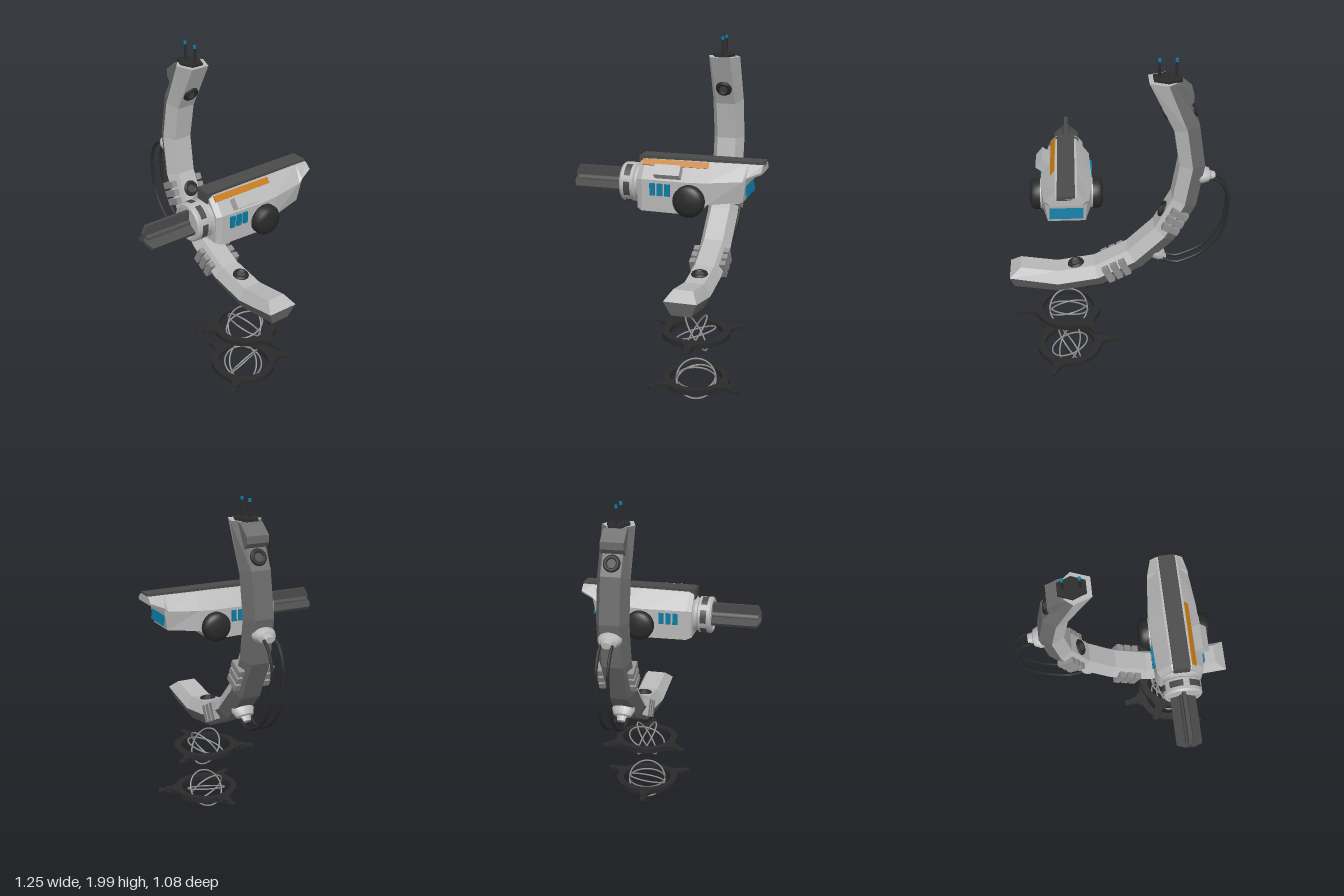
import * as THREE from 'three';
import { toCreasedNormals } from 'three/addons/utils/BufferGeometryUtils.js';

const mat = (name, color) => Object.assign(new THREE.MeshStandardMaterial({ color }), { name });
const D = Math.PI / 180;

// Flat-faced skin through a list of cross-sections, optionally closed and capped
function loft(rings, closed = true, capStart = true, capEnd = true) {
  const pos = [], n = rings[0].length;
  const tri = (...p) => p.forEach(v => pos.push(...v));
  for (let i = 0; i < rings.length - 1; i++) {
    const a = rings[i], b = rings[i + 1];
    for (let j = 0; j < (closed ? n : n - 1); j++) {
      const k = (j + 1) % n;
      tri(a[j], b[j], b[k]);
      tri(a[j], b[k], a[k]);
    }
  }
  const s = rings[0], e = rings[rings.length - 1];
  for (let j = 1; j < n - 1; j++) {
    if (capStart) tri(s[0], s[j], s[j + 1]);
    if (capEnd) tri(e[0], e[j + 1], e[j]);
  }
  const g = new THREE.BufferGeometry();
  g.setAttribute('position', new THREE.Float32BufferAttribute(pos, 3));
  g.computeVertexNormals();
  return g;
}

function extrude(points, depth) {
  const shape = new THREE.Shape(points.map(p => new THREE.Vector2(...p)));
  return new THREE.ExtrudeGeometry(shape, { depth, bevelEnabled: false }).translate(0, 0, -depth / 2);
}

export function createModel() {
  const model = new THREE.Group();
  const light = mat('lightGrey', 0xb8b8b8), outerGrey = mat('darkGrey', 0x6a6a6a);
  const midGrey = mat('midGrey', 0x8f8f8f), charcoal = mat('charcoal', 0x4a4a4a);
  const black = mat('black', 0x2a2a2a), blue = mat('blue', 0x0b7ca4), orange = mat('orange', 0xc47a10);

  const add = (parent, name, geo, material, x = 0, y = 0, z = 0) => {
    const m = new THREE.Mesh(geo, material);
    m.name = name;
    m.position.set(x, y, z);
    parent.add(m);
    return m;
  };
  const group = (parent, name, x = 0, y = 0, z = 0) => {
    const g = new THREE.Group();
    g.name = name;
    g.position.set(x, y, z);
    parent.add(g);
    return g;
  };
  const box = (x, y, z) => new THREE.BoxGeometry(x, y, z);

  // ---- Curved arm: hexagonal section swept round a centre, light inside and dark outside
  const arm = group(model, 'curvedArm', 0.345, 1.39, -0.17);
  const polar = (r, a) => [r * Math.cos(a * D), r * Math.sin(a * D)];
  const sections = [[[-0.51, 0.495], [-0.61, 0.495], [-0.655, 0.495]]];
  for (let a = 162; a <= 288; a += 18)
    sections.push([polar(0.683, a), polar(0.752, a === 288 ? 291.5 : a), polar(0.822, a)]);
  const at = (p, z) => [p[0], p[1], z];
  const W = 0.093, N = 0.056;
  add(arm, 'armInnerSkin', loft(sections.map(([i, m]) => [at(m, W), at(i, N), at(i, -N), at(m, -W)]), false), light);
  // the top cap is light right across, the lower cap is split in two tones
  add(arm, 'armOuterSkin', loft(sections.map(([, m, o]) => [at(m, -W), at(o, -N), at(o, N), at(m, W)]), false, false), outerGrey);
  const [, m0, o0] = sections[0];
  const capRing = [at(m0, -W), at(o0, -N), at(o0, N), at(m0, W)];
  add(arm, 'armTopCap', loft([capRing, capRing], false, true, false), light);
  add(arm, 'armHood', extrude([[-0.745, 0.43], [-0.745, 0.39], [-0.715, 0.355], [-0.635, 0.35],
    [-0.615, 0.49], [-0.675, 0.487]], 0.13), outerGrey);
  const plate = extrude([[-0.535, 0.035], [-0.61, 0.065], [-0.685, 0.035],
    [-0.685, -0.035], [-0.61, -0.065], [-0.535, -0.035]], 0.014).rotateX(-Math.PI / 2);
  add(arm, 'topPlate', plate, black, 0, 0.5, 0);

  // Antennas
  for (const x of [-0.31, -0.22]) {
    add(model, 'antennaRod', new THREE.CylinderGeometry(0.007, 0.007, 0.11, 8), black, x, 1.94, -0.17);
    add(model, 'antennaTip', new THREE.CylinderGeometry(0.009, 0.009, 0.018, 8), blue, x, 1.991, -0.17);
  }

  // Round ports on the inner face, and one at the upper back
  for (const [a, r] of [[153, 0.675], [207, 0.675], [261, 0.675], [157, 0.815]]) {
    const port = group(arm, 'port', ...polar(r, a));
    port.rotation.z = a * D;
    add(port, 'portRing', new THREE.TorusGeometry(0.035, 0.013, 8, 20).rotateY(Math.PI / 2), black);
    add(port, 'portDisc', new THREE.CylinderGeometry(0.03, 0.03, 0.01, 20).rotateZ(Math.PI / 2), charcoal);
  }

  // Side ribs in threes on both sides
  for (const a of [207, 243]) for (const side of [-1, 1]) {
    const ribs = group(arm, 'sideRibs', ...polar(0.745, a), side * 0.09);
    ribs.rotation.z = a * D;
    for (const k of [-1, 0, 1]) add(ribs, 'rib', box(0.1, 0.037, 0.034), midGrey, 0, k * 0.052, 0);
  }

  // Cable sockets and the pair of cables between them
  const socket = toCreasedNormals(new THREE.LatheGeometry([[0, 0], [0.042, 0], [0.045, 0.03], [0.034, 0.066],
    [0.022, 0.072], [0.018, 0.1], [0, 0.1]].map(p => new THREE.Vector2(...p)), 20), 0.6);
  for (const a of [186, 226]) {
    const s = add(arm, 'cableSocket', socket, light, ...polar(0.79, a), 0);
    s.rotation.z = (a - 90) * D;
    s.scale.z = 1.5;
  }
  const cable = [[-0.53, 1.295], [-0.575, 1.265], [-0.62, 1.17], [-0.62, 1.1], [-0.595, 0.945],
    [-0.495, 0.81], [-0.415, 0.762], [-0.325, 0.735], [-0.26, 0.765]];
  for (const z of [-0.137, -0.203]) {
    const path = new THREE.CatmullRomCurve3(cable.map(p => new THREE.Vector3(p[0], p[1], z)));
    add(model, 'cable', new THREE.TubeGeometry(path, 18, 0.009, 8), black);
  }

  // ---- Hovering turret: lofted body [z, half top, top y, half side, shoulder y, half bottom, bottom y]
  const gun = group(model, 'turret', 0.28, 0, 0);
  const body = [
    [0.14, 0.052, 1.375, 0.115, 1.29, 0.11, 1.13],
    [0.11, 0.057, 1.392, 0.13, 1.295, 0.13, 1.12],
    [-0.16, 0.06, 1.395, 0.14, 1.295, 0.14, 1.12],
    [-0.26, 0.06, 1.395, 0.138, 1.3, 0.135, 1.18],
    [-0.445, 0.058, 1.397, 0.118, 1.315, 0.1, 1.2],
    [-0.465, 0.058, 1.397, 0.115, 1.335, 0.11, 1.325],
    [-0.54, 0.055, 1.397, 0.092, 1.365, 0.085, 1.352],
  ].map(([z, t, ty, m, my, b, by]) =>
    [[t, ty, z], [-t, ty, z], [-m, my, z], [-b, by, z], [b, by, z], [m, my, z]]);
  add(gun, 'turretBody', loft(body), light);
  add(gun, 'topCover', box(0.094, 0.024, 0.68), charcoal, 0, 1.397, -0.2);
  add(gun, 'frontFlap', box(0.09, 0.06, 0.02), charcoal, 0, 1.375, 0.137);
  const tail = add(gun, 'tailPanel', box(0.18, 0.085, 0.008), blue, 0, 1.268, -0.458);
  tail.rotation.x = 0.16;
  const stripe = add(gun, 'orangeStripe', box(0.036, 0.008, 0.37), orange, 0.072, 1.378, -0.065);
  stripe.rotation.z = -52 * D;
  const pack = add(gun, 'sidePack', box(0.062, 0.05, 0.145), light, 0.13, 1.345, -0.04);
  pack.rotation.z = -52 * D;

  // Side windows and wheel pods
  add(gun, 'axle', new THREE.CylinderGeometry(0.084, 0.084, 0.3, 28).rotateZ(Math.PI / 2), light, 0, 1.2, -0.165);
  const pod = toCreasedNormals(new THREE.LatheGeometry([[0, 0], [0.086, 0], [0.086, 0.03], [0.075, 0.047],
    [0.05, 0.056], [0, 0.058]].map(p => new THREE.Vector2(...p)), 28), 0.7);
  for (const s of [-1, 1]) {
    const p = add(gun, 'sidePod', pod, black, s * 0.145, 1.2, -0.165);
    p.rotation.z = -s * Math.PI / 2;
    for (const z of [0.045, 0.003, -0.039])
      add(gun, 'sideWindow', box(0.018, 0.066, 0.029), blue, s * 0.136, 1.245, z);
  }

  // Barrel collar with slots
  const barrel = group(gun, 'barrel', 0, 1.245, 0);
  const collar = toCreasedNormals(new THREE.LatheGeometry([[0, 0.1], [0.108, 0.1], [0.108, 0.14], [0.098, 0.15],
    [0.098, 0.165], [0.108, 0.172], [0.108, 0.24], [0.1, 0.25], [0.085, 0.25], [0.085, 0.243], [0, 0.243]]
    .map(p => new THREE.Vector2(...p)), 32), 0.5);
  add(barrel, 'collar', collar.rotateX(Math.PI / 2), light);
  for (let i = 0; i < 6; i++)
    add(barrel, 'collarSlot', new THREE.CylinderGeometry(0.111, 0.111, 0.036, 6, 1, true, i * 60 * D, 42 * D)
      .rotateX(Math.PI / 2), charcoal, 0, 0, 0.205);

  // Three-finned barrel
  add(barrel, 'barrelCore', new THREE.CylinderGeometry(0.024, 0.024, 0.28, 16).rotateX(Math.PI / 2), charcoal, 0, 0, 0.38);
  const fin = extrude([[-0.24, 0], [-0.535, 0], [-0.535, 0.035], [-0.515, 0.076], [-0.24, 0.076]], 0.02)
    .rotateY(Math.PI / 2);
  for (let i = 0; i < 3; i++) add(barrel, 'barrelFin', fin, charcoal).rotation.z = i * 120 * D;

  // ---- Floating rings with spokes and thin inner hoops
  const annulus = new THREE.Shape().absarc(0, 0, 0.192, 0, Math.PI * 2);
  annulus.holes.push(new THREE.Path().absarc(0, 0, 0.15, 0, Math.PI * 2, true));
  const ringGeo = toCreasedNormals(new THREE.ExtrudeGeometry(annulus,
    { depth: 0.03, bevelEnabled: false, curveSegments: 28 }).translate(0, 0, -0.015).rotateX(-Math.PI / 2), 0.6);
  const spike = extrude([[0.17, -0.05], [0.195, -0.045], [0.215, -0.024], [0.25, -0.02],
    [0.25, 0.02], [0.215, 0.024], [0.195, 0.045], [0.17, 0.05]], 0.026).rotateX(-Math.PI / 2);
  for (const [y, start, turn] of [[0.39, -5, 0], [0.107, 51, 90]]) {
    const ring = group(model, 'floatingRing', 0.29, y, -0.167);
    add(ring, 'ringBand', ringGeo, black);
    for (let i = 0; i < 3; i++) {
      const arm3 = group(ring, 'ringSpike');
      arm3.rotation.y = -(start + i * 120) * D;
      add(arm3, 'spikeBase', spike, black);
      add(arm3, 'spikeTip', box(0.05, 0.013, 0.034), black, 0.27, 0, 0);
    }
    const hoops = group(ring, 'innerHoops');
    hoops.rotation.y = turn * D;
    for (const [tilt, yaw] of [[58, 14], [-58, 14], [20, -20]]) {
      const h = add(hoops, 'hoop', new THREE.TorusGeometry(0.114, 0.005, 6, 36).rotateX(Math.PI / 2), midGrey);
      h.rotation.set(tilt * D, yaw * D, 0, 'YXZ');
    }
  }
  return model;
}
